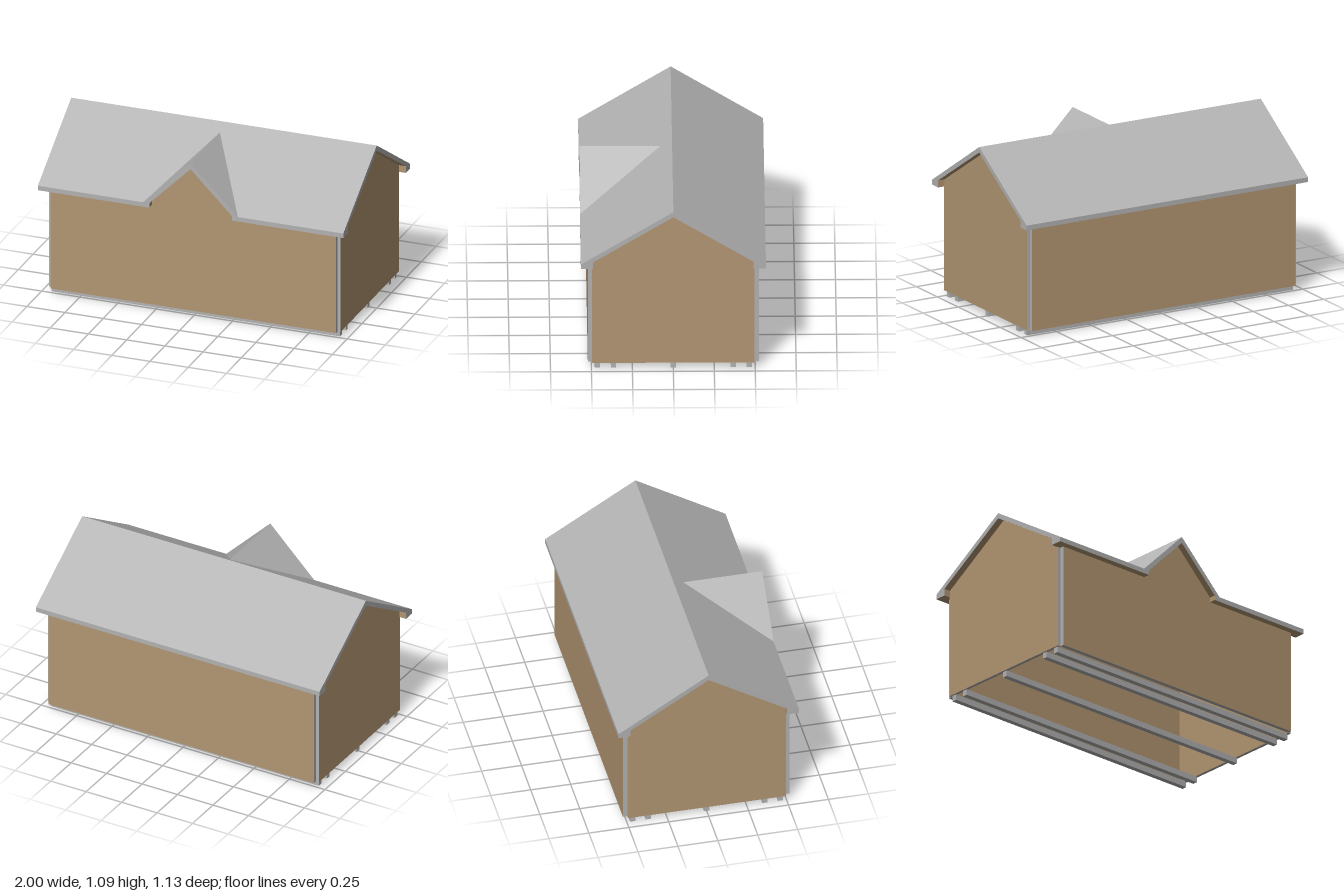
import * as THREE from 'three';

export function createModel() {
  const model = new THREE.Group();
  model.name = 'shed';

  const grey = new THREE.MeshStandardMaterial({ color: 0xb2b2b2, side: THREE.DoubleSide });
  grey.name = 'grey trim';
  const tan = new THREE.MeshStandardMaterial({ color: 0xb29672, side: THREE.DoubleSide });
  tan.name = 'tan boards';

  const shapeOf = (pts) => new THREE.Shape(pts.map(([u, v]) => new THREE.Vector2(u, v)));
  const add = (parent, name, geo, mat) => {
    const mesh = new THREE.Mesh(geo, mat);
    mesh.name = name;
    parent.add(mesh);
    return mesh;
  };

  // Flat face: a 2D outline placed in space by a rule, turned to face the given direction
  const face = (parent, name, mat, pts, place, facing) => {
    const geo = new THREE.ShapeGeometry(shapeOf(pts));
    const p = geo.attributes.position;
    for (let i = 0; i < p.count; i++) p.setXYZ(i, ...place(p.getX(i), p.getY(i)));
    geo.computeVertexNormals();
    const n = new THREE.Vector3().fromBufferAttribute(geo.attributes.normal, 0);
    if (n.dot(new THREE.Vector3(...facing)) < 0) {
      geo.setIndex(Array.from(geo.index.array).reverse());
      geo.computeVertexNormals();
    }
    return add(parent, name, geo, mat);
  };

  // Main dimensions
  const RX = 1, RZ = 0.565;                  // roof half length and half depth
  const EAVE = 0.70, EDGE = 0.73;            // eave bottom and top
  const RIDGE = 1.085, INNER = 1.05;         // roof ridge, outer and inner
  const SZ = 0.49, SY = 0.745;               // inner end of the eave box
  const BASE = 0.037;                        // top of the skids
  const UP = [0, 1, 0], DOWN = [0, -1, 0];

  // Skids
  for (const z of [-0.463, -0.365, 0, 0.365, 0.463]) {
    add(model, 'skid', new THREE.BoxGeometry(1.89, BASE, 0.033), grey).position.set(0, BASE / 2, z);
  }

  // Wall panels: tan faces, grey cut edges
  const wall = (name, pts, depth) => add(model, name,
    new THREE.ExtrudeGeometry(shapeOf(pts), { depth, bevelEnabled: false }), [tan, grey]);
  const W = 0.935, T = 0.027;
  wall('frontWall', [[-W, BASE], [W, BASE], [W, EAVE], [0.27, EAVE], [0.27, EDGE], [0, 1.0],
    [-0.27, EDGE], [-0.27, EAVE], [-W, EAVE]], T).position.z = 0.495;
  wall('backWall', [[-W, BASE], [W, BASE], [W, EAVE], [-W, EAVE]], T).position.z = -0.495 - T;
  for (const x of [-0.955, 0.935]) {
    const end = wall('endWall', [[-0.495, BASE], [0.495, BASE], [0.495, EAVE], [SZ, EAVE], [SZ, SY],
      [0, INNER], [-SZ, SY], [-SZ, EAVE], [-0.495, EAVE]], 0.02);
    end.rotation.y = Math.PI / 2;
    end.position.x = x;
  }

  // Main roof
  const roof = new THREE.Group();
  roof.name = 'roof';
  model.add(roof);
  const outer = (x, z) => [x, RIDGE - (RIDGE - EDGE) / RZ * Math.abs(z), z];
  const inner = (x, z) => [x, INNER - (INNER - SY) / SZ * Math.abs(z), z];
  const rect = (a, b, c, d) => [[a, b], [c, b], [c, d], [a, d]];

  face(roof, 'backSlope', grey, rect(-RX, -RZ, RX, 0), outer, UP);
  face(roof, 'frontSlope', grey,
    [[-RX, 0], [RX, 0], [RX, RZ], [0.31, RZ], [0, 0.07], [-0.31, RZ], [-RX, RZ]], outer, UP);
  face(roof, 'backUnderside', tan, rect(-RX, -SZ, RX, 0), inner, DOWN);
  face(roof, 'frontUnderside', tan,
    [[-RX, 0], [RX, 0], [RX, SZ], [0.255, SZ], [0, 0.08], [-0.255, SZ], [-RX, SZ]], inner, DOWN);

  // Fascias; the front one climbs over the dormer
  face(roof, 'backFascia', grey, rect(-RX, EAVE, RX, EDGE), (x, y) => [x, y, -RZ], [0, 0, -1]);
  face(roof, 'frontFascia', grey,
    [[-RX, EAVE], [-0.27, EAVE], [-0.27, EDGE], [0, 1.0], [0.27, EDGE], [0.27, EAVE], [RX, EAVE],
      [RX, EDGE], [0.31, EDGE], [0, 1.04], [-0.31, EDGE], [-RX, EDGE]],
    (x, y) => [x, y, RZ], [0, 0, 1]);

  // Back soffit and its inner step
  face(roof, 'backSoffit', tan, rect(-RX, -RZ, RX, -SZ), (x, z) => [x, EAVE, z], DOWN);
  face(roof, 'backSoffitStep', tan, rect(-RX, EAVE, RX, SY), (x, y) => [x, y, -SZ], [0, 0, 1]);

  for (const s of [-1, 1]) {
    // Gable end band
    face(roof, 'gableTrim', grey,
      [[RZ, EAVE], [RZ, EDGE], [0, RIDGE], [-RZ, EDGE], [-RZ, EAVE], [-SZ, EAVE], [-SZ, SY],
        [0, INNER], [SZ, SY], [SZ, EAVE]],
      (z, y) => [s * RX, y, z], [s, 0, 0]);

    // Front soffit, broken at the dormer
    face(roof, 'frontSoffit', tan, rect(0.27, SZ, RX, RZ), (x, z) => [s * x, EAVE, z], DOWN);
    face(roof, 'frontSoffitStep', tan, rect(0.27, EAVE, RX, SY), (x, y) => [s * x, y, SZ], [0, 0, -1]);
    face(roof, 'soffitReturn', tan, rect(SZ, EAVE, RZ, EDGE), (z, y) => [s * 0.27, y, z], [-s, 0, 0]);

    // Dormer slope and underside
    face(roof, 'dormerSlope', grey, [[0, 0.07], [0.31, RZ], [0, RZ]],
      (x, z) => [s * x, 1.04 - x, z], UP);
    face(roof, 'dormerUnderside', tan, [[0, 0.08], [0.255, SZ], [0.27, SZ], [0.27, RZ], [0, RZ]],
      (x, z) => [s * x, 1.0 - x, z], DOWN);
  }

  return model;
}
